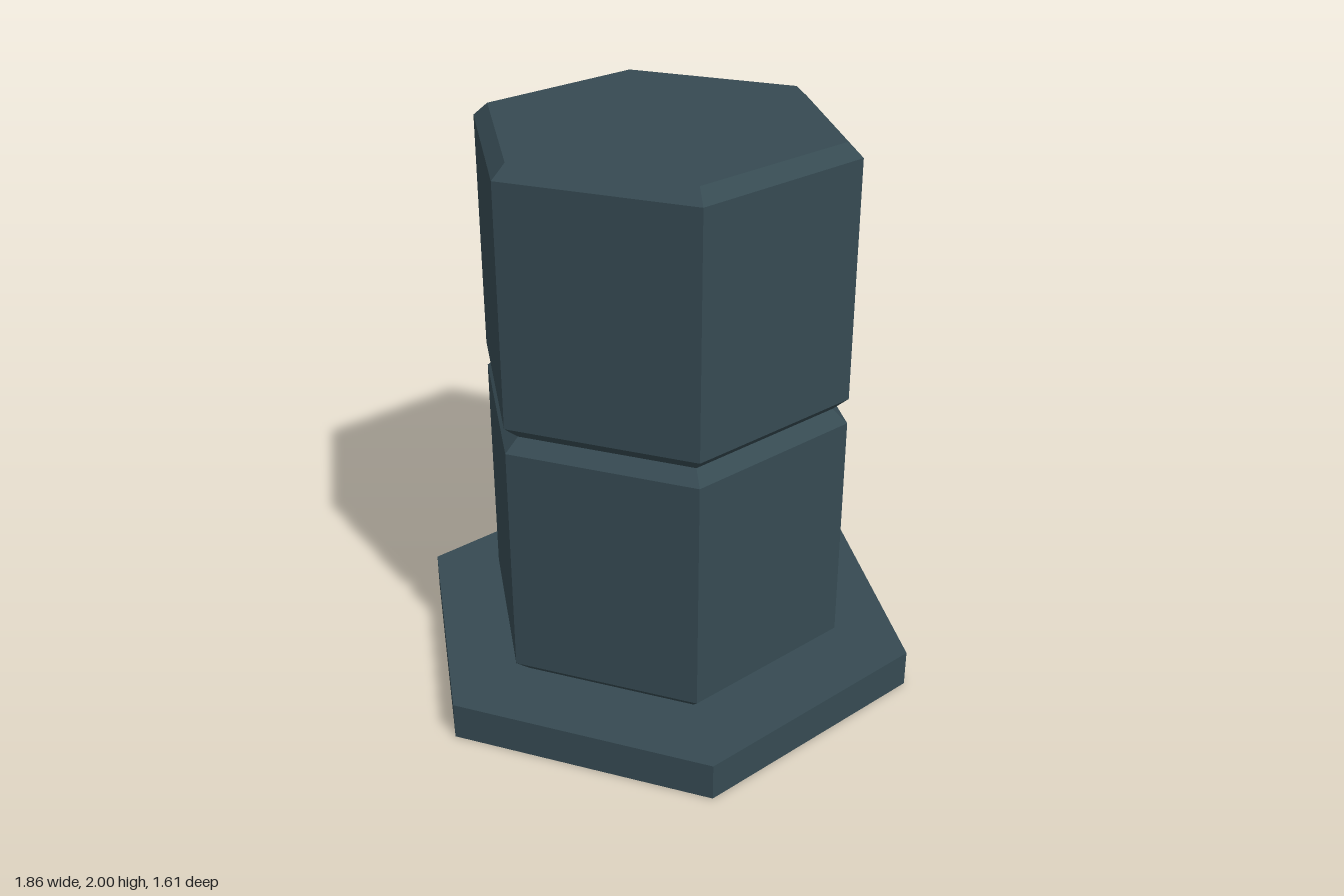
import * as THREE from 'three';

const SIDES = 6;
const START = Math.PI / 6; // puts corners on +x and -x

export function createModel() {
  const group = new THREE.Group();
  const material = new THREE.MeshStandardMaterial({ color: 0x364a52, flatShading: true });

  const add = (name, geometry, y) => {
    const mesh = new THREE.Mesh(geometry, material);
    mesh.name = name;
    mesh.position.y = y;
    group.add(mesh);
  };

  // Flat hexagonal base plate
  const baseHeight = 0.135;
  add('basePlate', new THREE.CylinderGeometry(0.932, 0.932, baseHeight, SIDES, 1, false, START), baseHeight / 2);

  // Two stacked hexagonal blocks, chamfered at top and bottom
  const height = (2 - baseHeight) / 2;
  const radius = 0.665, rim = 0.612, bevel = 0.046;
  const profile = [
    [0, 0], [rim, 0], [radius, bevel], [radius, height - bevel], [rim, height], [0, height],
  ].map(([x, y]) => new THREE.Vector2(x, y));
  ['lowerBlock', 'upperBlock'].forEach((name, i) =>
    add(name, new THREE.LatheGeometry(profile, SIDES, START), baseHeight + i * height));

  return group;
}
